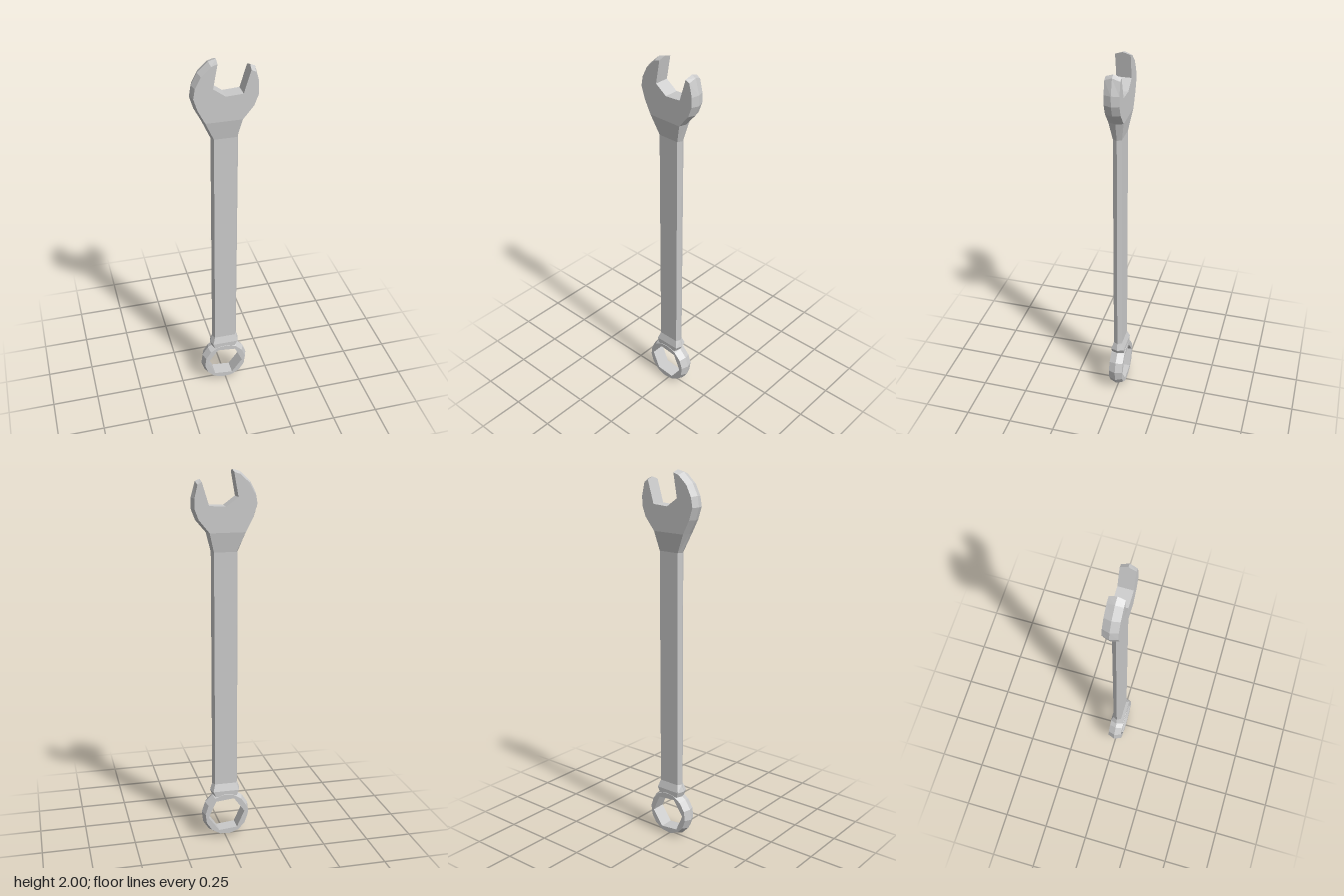
import * as THREE from 'three';

const material = new THREE.MeshStandardMaterial({ color: 0xcccccc, flatShading: true });
const HEAD = 0.038; // half thickness of both heads
const SHANK = 0.023; // half thickness of the shank

function meshFrom(name, triangles) {
  const geometry = new THREE.BufferGeometry();
  geometry.setAttribute('position', new THREE.Float32BufferAttribute(triangles.flat(2), 3));
  geometry.computeVertexNormals();
  const mesh = new THREE.Mesh(geometry, material);
  mesh.name = name;
  return mesh;
}

// Walls between two matching closed loops; the second loop lies further along the axis
function bridge(out, a, b) {
  a.forEach((p, i) => {
    const j = (i + 1) % a.length;
    out.push([p, a[j], b[j]], [p, b[j], b[i]]);
  });
}

// Plate with a ridge around its middle. Loops are counter-clockwise, the hole clockwise.
function plate(name, mid, face, hole = []) {
  const out = [];
  const at = (loop, z) => loop.map(([x, y]) => [x, y, z]);
  bridge(out, at(face, -HEAD), at(mid, 0));
  bridge(out, at(mid, 0), at(face, HEAD));
  if (hole.length) bridge(out, at(hole, -HEAD), at(hole, HEAD));
  const vec = (loop) => loop.map(([x, y]) => new THREE.Vector2(x, y));
  const points = [...face, ...hole];
  const caps = THREE.ShapeUtils.triangulateShape(vec(face), hole.length ? [vec(hole)] : []);
  for (const tri of caps) {
    let [a, b, c] = tri.map((i) => points[i]);
    const area = (b[0] - a[0]) * (c[1] - a[1]) - (b[1] - a[1]) * (c[0] - a[0]);
    if (area < 0) [b, c] = [c, b];
    out.push(at([a, b, c], HEAD), at([a, c, b], -HEAD));
  }
  return meshFrom(name, out);
}

// Regular polygon around the ring centre
function polygon(sides, radius, start = 0) {
  return Array.from({ length: sides }, (_, i) => {
    const t = start + (i / sides) * Math.PI * 2;
    return [-0.005 + radius * Math.cos(t), 0.136 + radius * Math.sin(t)];
  });
}

// Open jaw: ridge x, y, then face x, y, counter-clockwise from the neck
function openJaw() {
  const outline = [
    [-0.115, 1.69, -0.103, 1.69],
    [0.095, 1.69, 0.083, 1.69],
    [0.15, 1.755, 0.138, 1.757],
    [0.171, 1.81, 0.159, 1.812],
    [0.171, 1.865, 0.159, 1.863],
    [0.149, 1.945, 0.143, 1.93],
    [0.125, 1.955, 0.121, 1.942],
    [0.085, 1.825, 0.085, 1.825],
    [-0.002, 1.82, -0.002, 1.82],
    [-0.064, 1.865, -0.064, 1.865],
    [-0.04, 2.0, -0.042, 1.988],
    [-0.078, 1.99, -0.073, 1.978],
    [-0.132, 1.94, -0.122, 1.933],
    [-0.163, 1.88, -0.151, 1.876],
    [-0.172, 1.825, -0.16, 1.825],
    [-0.152, 1.76, -0.14, 1.762],
  ];
  return plate('openJaw', outline.map((p) => p.slice(0, 2)), outline.map((p) => p.slice(2)));
}

// Shank with flared necks: six-sided sections of height, left, right, half thickness
function shank() {
  const sections = [
    [0.245, -0.075, 0.065, 0.036],
    [0.275, -0.085, 0.08, 0.036],
    [0.315, -0.072, 0.068, SHANK],
    [1.59, -0.07, 0.07, SHANK],
    [1.69, -0.115, 0.095, HEAD],
  ];
  const loops = sections.map(([y, l, r, z]) => [
    [l, y, 0], [l + 0.012, y, z], [r - 0.012, y, z],
    [r, y, 0], [r - 0.012, y, -z], [l + 0.012, y, -z],
  ]);
  const out = [];
  for (let i = 1; i < loops.length; i++) bridge(out, loops[i - 1], loops[i]);
  // lower end, tucked into the ring
  const end = loops[0];
  for (let i = 1; i < 5; i++) out.push([end[0], end[i + 1], end[i]]);
  return meshFrom('shank', out);
}

export function createModel() {
  const group = new THREE.Group();
  group.name = 'combinationWrench';
  const hexHole = polygon(6, 0.101, -0.1).reverse();
  group.add(
    openJaw(),
    shank(),
    plate('ringEnd', polygon(14, 0.133, 0.1), polygon(14, 0.119, 0.1), hexHole),
  );
  return group;
}
